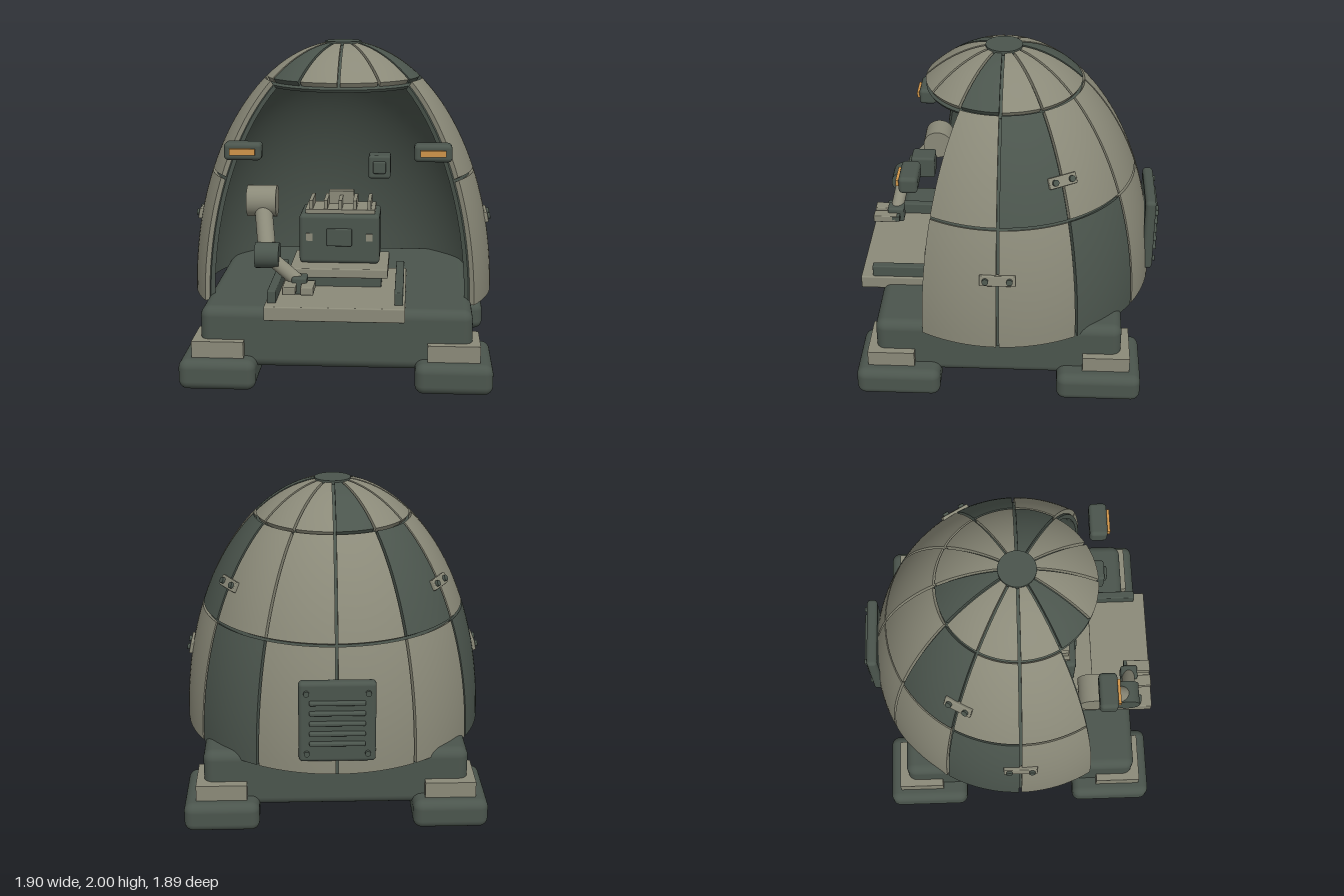
import * as THREE from 'three';
import { RoundedBoxGeometry } from 'three/addons/geometries/RoundedBoxGeometry.js';

const light = new THREE.MeshStandardMaterial({ color: 0x8b8a79 });
light.name = 'warm grey';
const dark = new THREE.MeshStandardMaterial({ color: 0x4b554d });
dark.name = 'dark green grey';
const amber = new THREE.MeshStandardMaterial({ color: 0xd0954a });
amber.name = 'amber';

// Dome: half ellipsoid standing on BASE_Y, centred on CENTRE_Z
const A = 0.95, B = 1.57, BASE_Y = 0.43, CENTRE_Z = 0.04;
const RAD = Math.PI / 180;

export function createModel() {
  const model = new THREE.Group();
  model.name = 'domeShelter';

  const add = (name, geometry, material, x = 0, y = 0, z = 0, parent = model) => {
    const mesh = new THREE.Mesh(geometry, material);
    mesh.name = name;
    mesh.position.set(x, y, z);
    parent.add(mesh);
    return mesh;
  };
  // Box given by its limits; a radius rounds the edges
  const box = (name, material, [x0, x1], [y0, y1], [z0, z1], radius = 0, parent = model) => {
    const size = [x1 - x0, y1 - y0, z1 - z0];
    const geometry = radius ? new RoundedBoxGeometry(...size, 4, radius) : new THREE.BoxGeometry(...size);
    return add(name, geometry, material, (x0 + x1) / 2, (y0 + y1) / 2, (z0 + z1) / 2, parent);
  };
  // Cylinder between two points
  const rod = (name, material, from, to, radius, parent = model) => {
    const a = new THREE.Vector3(...from), b = new THREE.Vector3(...to);
    const dir = b.clone().sub(a);
    const mesh = add(name, new THREE.CylinderGeometry(radius, radius, dir.length(), 28), material, 0, 0, 0, parent);
    mesh.position.copy(a).add(b).multiplyScalar(0.5);
    mesh.quaternion.setFromUnitVectors(new THREE.Vector3(0, 1, 0), dir.normalize());
    return mesh;
  };
  // Thick curved patch of the dome: a box bent onto the ellipsoid
  const patch = (deg0, deg1, y0, y1, inset, thickness, gap) => {
    const span = (deg1 - deg0) * RAD, mid = (deg0 + deg1) / 2 * RAD;
    const g = new THREE.BoxGeometry(1, 1, 1, Math.ceil((deg1 - deg0) / 3), 14, 1);
    const p = g.attributes.position;
    const b0 = B - inset;
    const t0 = Math.asin((y0 - BASE_Y) / b0), t1 = Math.asin(Math.min(1, (y1 - BASE_Y) / b0));
    for (let i = 0; i < p.count; i++) {
      const t = t0 + (p.getY(i) + 0.5) * (t1 - t0);
      const depth = inset + (0.5 - p.getZ(i)) * thickness;
      const r = (A - depth) * Math.cos(t);
      const phi = mid - p.getX(i) * (span - gap / Math.max(r, 0.05));
      p.setXYZ(i, r * Math.cos(phi), BASE_Y + (B - depth) * Math.sin(t), CENTRE_Z + r * Math.sin(phi));
    }
    g.computeVertexNormals();
    return g;
  };

  // Base block and four feet
  box('base', dark, [-0.81, 0.81], [0.11, 0.48], [-0.715, 0.805], 0.06);
  for (const sx of [-1, 1]) {
    for (const sz of [-1, 1]) {
      const leg = new THREE.Group();
      leg.name = 'leg';
      leg.position.set(sx * 0.7, 0, 0.042 + sz * 0.622);
      model.add(leg);
      box('foot', dark, [-0.23, 0.23], [0, 0.185], [-0.26, 0.26], 0.055, leg);
      box('footPad', light, [-0.155, 0.155], [0.17, 0.285],
        sz > 0 ? [-0.1, 0.19] : [-0.19, 0.1], 0, leg);
    }
  }

  // Dome: inner shell, then three rows of panels
  add('innerShell', patch(-30.5 - 180, 30.5, 0.42, 1.77, 0.031, 0.028, 0), dark);
  add('capShell', patch(0, 360, 1.745, 1.97, 0.031, 0.02, 0), dark);
  const rows = [
    { name: 'lowerPanel', y0: 0.432, y1: 1.197, first: 5, last: 12, darkOnes: [6, 10] },
    { name: 'upperPanel', y0: 1.213, y1: 1.772, first: 5, last: 12, darkOnes: [7, 11] },
    { name: 'capPanel', y0: 1.785, y1: 1.99, first: 0, last: 11, darkOnes: [0, 4, 8] },
  ];
  for (const row of rows) {
    for (let i = row.first; i <= row.last; i++) {
      add(row.name, patch(i * 30, i * 30 + 30, row.y0, row.y1, 0, 0.03, 0.016),
        row.darkOnes.includes(i) ? dark : light);
    }
  }
  add('topDisc', new THREE.CylinderGeometry(0.113, 0.113, 0.025, 40), dark, 0, 1.9875, CENTRE_Z);

  // Bolted brackets across the panel seams
  for (const [deg, y] of [[0, 0.9], [180, 0.9], [-30, 1.43], [210, 1.43]]) {
    const s = (y - BASE_Y) / B, r = A * Math.sqrt(1 - s * s), phi = deg * RAD;
    const k = Math.atan2((y - BASE_Y) / (B * B), r / (A * A));
    const bracket = new THREE.Group();
    bracket.name = 'seamBracket';
    bracket.position.set(r * Math.cos(phi), y, CENTRE_Z + r * Math.sin(phi));
    bracket.rotation.set(-k, Math.PI / 2 - phi, 0, 'YXZ');
    model.add(bracket);
    const w = y > 1 ? 0.09 : 0.107;
    box('bracketPlate', light, [-w, w], [-0.033, 0.033], [-0.015, 0.016], 0.006, bracket);
    for (const sx of [-1, 1]) {
      rod('bracketBolt', dark, [sx * (w - 0.035), 0, 0], [sx * (w - 0.035), 0, 0.032], 0.019, bracket);
    }
  }

  // Rear vent with louvres and corner bolts
  box('ventPanel', dark, [-0.227, 0.227], [0.52, 1.03], [-0.925, -0.858], 0.025);
  for (let i = 0; i < 5; i++) {
    const y = 0.645 + i * 0.065;
    box('ventLouvre', dark, [-0.165, 0.165], [y - 0.013, y + 0.013], [-0.948, -0.915], 0.01);
  }
  for (const x of [-0.18, 0.18]) {
    for (const y of [0.58, 0.965]) rod('ventBolt', dark, [x, y, -0.92], [x, y, -0.942], 0.017);
  }

  // Tray with side rails and a raised slab
  box('tray', light, [-0.41, 0.41], [0.45, 0.535], [0.05, 0.945], 0.008);
  for (const x of [-0.372, 0.372]) {
    box('trayRail', dark, [x - 0.025, x + 0.025], [0.53, 0.61], [0.15, 0.87], 0.008);
  }
  box('slabPlinth', dark, [-0.26, 0.26], [0.53, 0.605], [0.13, 0.5]);
  box('slab', light, [-0.3, 0.3], [0.6, 0.657], [0.1, 0.545], 0.008);

  // Equipment crate with a finned top
  box('crate', dark, [-0.25, 0.245], [0.657, 0.965], [0.09, 0.42], 0.025);
  box('cratePanel', dark, [-0.08, 0.075], [0.77, 0.88], [0.41, 0.435], 0.008);
  for (const x of [-0.187, 0.182]) {
    box('crateClip', light, [x - 0.02, x + 0.02], [0.802, 0.848], [0.41, 0.427]);
  }
  box('finBase', light, [-0.215, 0.215], [0.955, 0.99], [0.13, 0.38]);
  for (let i = -2; i <= 2; i++) {
    box('fin', light, [i * 0.09 - 0.011, i * 0.09 + 0.011], [0.98, 1.045], [0.15, 0.37]);
  }
  box('finBlock', light, [-0.08, 0.075], [0.98, 1.07], [0.14, 0.2]);

  // Jointed arm
  const shoulder = [-0.46, 1.07, 0.51], elbow = [-0.405, 0.795, 0.755], wrist = [-0.21, 0.64, 0.79];
  rod('shoulder', light, [-0.55, 1.07, 0.51], [-0.372, 1.07, 0.51], 0.095);
  rod('upperArm', light, shoulder, elbow, 0.053);
  rod('elbow', dark, [-0.475, 0.795, 0.755], [-0.333, 0.795, 0.755], 0.076);
  rod('forearm', light, elbow, wrist, 0.042);
  box('wrist', dark, [-0.255, -0.165], [0.58, 0.685], [0.735, 0.845], 0.015);
  box('gripperBar', dark, [-0.3, -0.12], [0.612, 0.648], [0.76, 0.81]);
  for (const x of [-0.262, -0.158]) {
    box('gripperFinger', light, [x - 0.038, x + 0.038], [0.605, 0.652], [0.78, 0.935], 0.006);
  }

  // Sensor with a square lens
  box('sensor', dark, [0.182, 0.312], [1.23, 1.367], [0.455, 0.598], 0.015);
  box('sensorLens', dark, [0.209, 0.285], [1.262, 1.335], [0.59, 0.616], 0.01);

  // Pair of amber lamps
  for (const sx of [-1, 1]) {
    const x = sx * 0.563;
    box('lampHousing', dark, [x - 0.112, x + 0.112], [1.335, 1.441], [0.518, 0.63], 0.025);
    box('lampGlass', amber, [x - 0.076, x + 0.076], [1.37, 1.408], [0.62, 0.648]);
  }

  return model;
}
